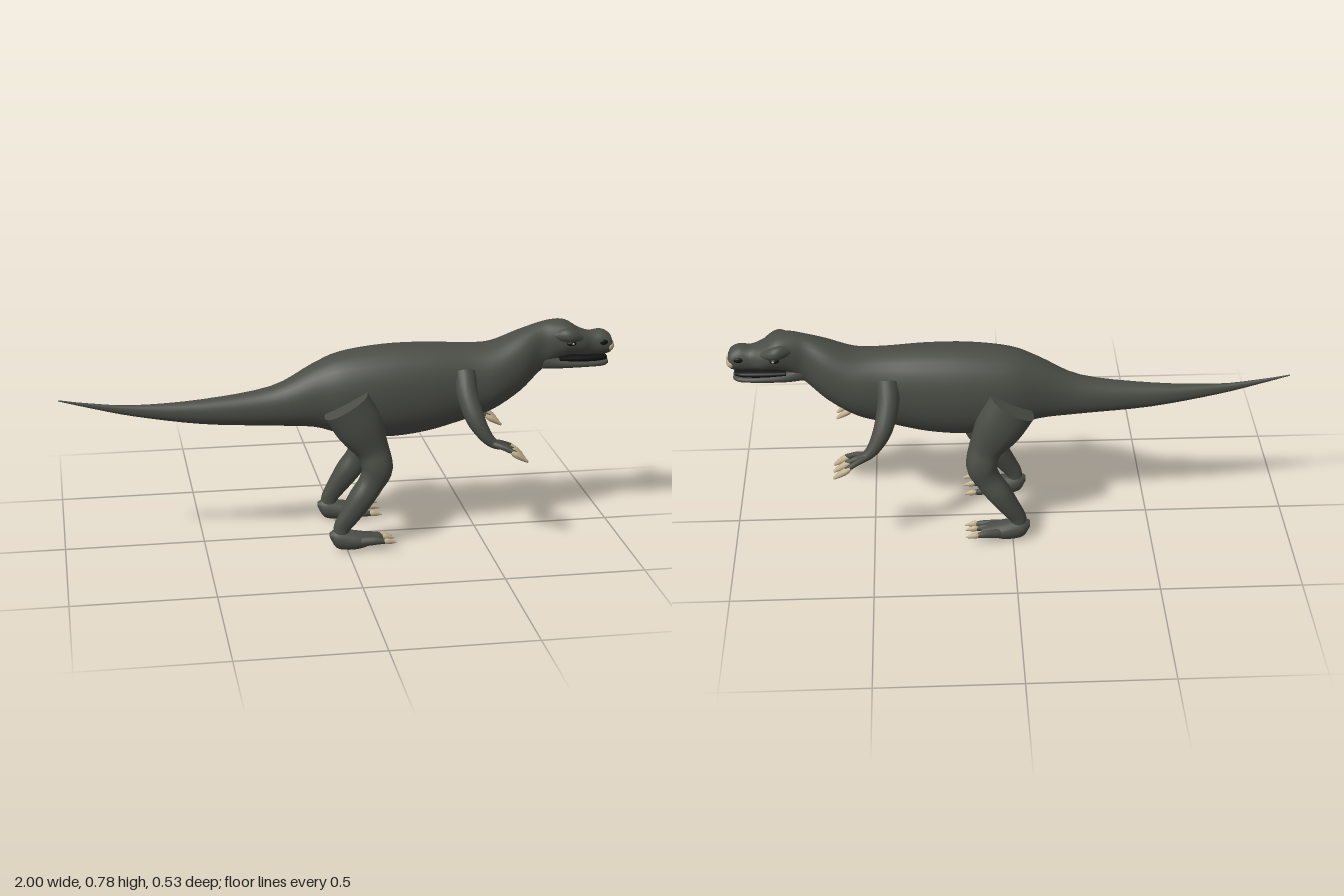
import * as THREE from 'three';

const mat = (name, color) => {
  const m = new THREE.MeshStandardMaterial({ color });
  m.name = name;
  return m;
};

// Skin through sections [x, y, z, halfHeight, halfWidth]; upright rings stay
// vertical, others follow the path. p > 2 makes the rings squarer.
function loft(sections, { n = 20, steps = 4, p = 2, upright = false } = {}) {
  const path = new THREE.CatmullRomCurve3(sections.map(s => new THREE.Vector3(s[0], s[1], s[2])), false, 'catmullrom');
  const size = new THREE.CatmullRomCurve3(sections.map(s => new THREE.Vector3(s[3], s[4], 0)), false, 'catmullrom');
  const rows = (sections.length - 1) * steps;
  const pos = [], idx = [];
  const Z = new THREE.Vector3(0, 0, 1);
  const round = c => Math.sign(c) * Math.pow(Math.abs(c), 2 / p);
  for (let i = 0; i <= rows; i++) {
    const c = path.getPoint(i / rows), r = size.getPoint(i / rows);
    const t = upright ? new THREE.Vector3(1, 0, 0) : path.getTangent(i / rows);
    const u = new THREE.Vector3().crossVectors(Z, t).normalize();
    const v = new THREE.Vector3().crossVectors(t, u);
    for (let j = 0; j < n; j++) {
      const a = (j / n) * Math.PI * 2;
      const q = c.clone()
        .addScaledVector(u, Math.max(r.x, 0.001) * round(Math.cos(a)))
        .addScaledVector(v, Math.max(r.y, 0.001) * round(Math.sin(a)));
      pos.push(q.x, q.y, q.z);
    }
  }
  for (let i = 0; i < rows; i++) for (let j = 0; j < n; j++) {
    const k = (j + 1) % n, a = i * n + j, b = i * n + k;
    idx.push(a, b, a + n, b, b + n, a + n);
  }
  // end caps with their own rim, so the edge stays sharp
  for (const row of [0, rows]) {
    const base = pos.length / 3, c = path.getPoint(row / rows);
    for (let j = 0; j < n * 3; j++) pos.push(pos[row * n * 3 + j]);
    pos.push(c.x, c.y, c.z);
    for (let j = 0; j < n; j++) {
      const a = base + j, b = base + (j + 1) % n;
      if (row) idx.push(base + n, a, b); else idx.push(base + n, b, a);
    }
  }
  const g = new THREE.BufferGeometry();
  g.setAttribute('position', new THREE.Float32BufferAttribute(pos, 3));
  g.setIndex(idx);
  g.computeVertexNormals();
  return g;
}

export function createModel() {
  const model = new THREE.Group();
  model.name = 'dinosaur';
  const hide = mat('hide', 0x4a4c45);
  const horn = mat('horn', 0xc2b08e);
  const dark = mat('dark', 0x121212);

  const add = (parent, name, geometry, material) => {
    const m = new THREE.Mesh(geometry, material);
    m.name = name;
    parent.add(m);
    return m;
  };
  const ball = (parent, name, material, at, scale) => {
    const m = add(parent, name, new THREE.SphereGeometry(1, 20, 14), material);
    m.position.set(...at);
    m.scale.set(...scale);
  };

  // Tail, trunk, neck and skull in one skin
  add(model, 'body', loft([
    [-1, 0.562, 0, 0.002, 0.002],
    [-0.9, 0.54, 0, 0.008, 0.006],
    [-0.74, 0.512, 0, 0.02, 0.015],
    [-0.5, 0.496, 0, 0.044, 0.038],
    [-0.25, 0.505, 0, 0.071, 0.06],
    [-0.1, 0.537, 0, 0.114, 0.09],
    [0, 0.543, 0, 0.148, 0.118],
    [0.15, 0.543, 0, 0.168, 0.13],
    [0.3, 0.55, 0, 0.163, 0.125],
    [0.45, 0.565, 0, 0.14, 0.11],
    [0.55, 0.583, 0, 0.124, 0.11],
    [0.65, 0.633, 0, 0.112, 0.088],
    [0.72, 0.678, 0, 0.092, 0.057],
    [0.77, 0.703, 0, 0.076, 0.063],
    [0.82, 0.712, 0, 0.063, 0.074],
    [0.87, 0.697, 0, 0.048, 0.066],
    [0.91, 0.689, 0, 0.044, 0.047],
    [0.95, 0.691, 0, 0.046, 0.046],
    [0.98, 0.686, 0, 0.037, 0.042],
    [0.99, 0.683, 0, 0.022, 0.03],
  ], { n: 32, p: 2.2, upright: true }), hide);

  // Mouth, jaw and nose
  add(model, 'lowerJaw', loft([
    [0.73, 0.634, 0, 0.03, 0.05],
    [0.8, 0.624, 0, 0.02, 0.058],
    [0.9, 0.619, 0, 0.013, 0.055],
    [0.955, 0.618, 0, 0.012, 0.045],
    [0.976, 0.62, 0, 0.008, 0.03],
  ], { p: 3, upright: true }), hide);
  add(model, 'mouth', loft([
    [0.79, 0.646, 0, 0.01, 0.062],
    [0.87, 0.642, 0, 0.014, 0.06],
    [0.94, 0.639, 0, 0.012, 0.05],
    [0.97, 0.637, 0, 0.008, 0.034],
  ], { p: 3, upright: true }), dark);
  ball(model, 'noseHorn', horn, [0.979, 0.679, 0], [0.021, 0.024, 0.045]);

  for (const s of [1, -1]) {
    const side = s > 0 ? 'left' : 'right';
    const limb = (parent, name, pts, material, opts) =>
      add(parent, name, loft(pts.map(([x, y, z, a, b]) => [x, y, z * s, a, b]), opts), material);

    // Brow, eye and nostril
    limb(model, side + 'Brow', [
      [0.765, 0.732, 0.045, 0.01, 0.012],
      [0.8, 0.735, 0.06, 0.024, 0.022],
      [0.835, 0.73, 0.062, 0.022, 0.022],
      [0.885, 0.713, 0.04, 0.008, 0.01],
    ], hide, { upright: true });
    ball(model, side + 'Eye', dark, [0.825, 0.708, 0.073 * s], [0.017, 0.009, 0.009]);
    ball(model, side + 'Pupil', horn, [0.829, 0.708, 0.08 * s], [0.005, 0.004, 0.003]);
    ball(model, side + 'Nostril', dark, [0.952, 0.698, 0.043 * s], [0.016, 0.01, 0.006]);

    // Hind leg
    const leg = new THREE.Group();
    leg.name = side + 'Leg';
    model.add(leg);
    limb(leg, 'thighAndShin', [
      [0, 0.535, 0.125, 0.088, 0.065],
      [0.05, 0.45, 0.122, 0.085, 0.068],
      [0.095, 0.365, 0.122, 0.06, 0.058],
      [0.11, 0.3, 0.137, 0.056, 0.054],
      [0.088, 0.245, 0.143, 0.046, 0.043],
      [0.05, 0.19, 0.148, 0.044, 0.047],
      [0.01, 0.13, 0.152, 0.036, 0.036],
      [-0.018, 0.085, 0.152, 0.03, 0.026],
      [-0.022, 0.045, 0.152, 0.028, 0.026],
    ], hide, { n: 24, p: 2.3 });
    limb(leg, 'foot', [
      [-0.062, 0.057, 0.152, 0.01, 0.012],
      [-0.04, 0.044, 0.152, 0.034, 0.03],
      [-0.005, 0.037, 0.152, 0.037, 0.038],
      [0.04, 0.034, 0.152, 0.032, 0.042],
      [0.085, 0.036, 0.152, 0.02, 0.036],
      [0.115, 0.037, 0.152, 0.01, 0.022],
    ], hide, { upright: true });
    for (const [z, y] of [[0.2, 0.04], [0.15, 0.038], [0.104, 0.028]]) {
      limb(leg, 'toe', [
        [0.05, 0.036, 0.152 + (z - 0.152) * 0.6, 0.018, 0.015],
        [0.1, y + 0.002, 0.152 + (z - 0.152) * 0.9, 0.014, 0.012],
        [0.138, y, z, 0.008, 0.007],
      ], hide, { n: 12 });
      limb(leg, 'toeClaw', [
        [0.125, y + 0.002, z, 0.008, 0.007],
        [0.142, y, z, 0.011, 0.009],
        [0.172, y - 0.006, z, 0.002, 0.002],
      ], horn, { n: 12 });
    }

    // Arm, fingers and claws
    const arm = new THREE.Group();
    arm.name = side + 'Arm';
    model.add(arm);
    limb(arm, 'upperArm', [
      [0.435, 0.62, 0.08, 0.04, 0.04],
      [0.435, 0.555, 0.125, 0.038, 0.038],
      [0.455, 0.48, 0.168, 0.034, 0.036],
      [0.485, 0.425, 0.192, 0.025, 0.027],
      [0.515, 0.393, 0.2, 0.018, 0.022],
      [0.548, 0.38, 0.204, 0.012, 0.024],
    ], hide);
    for (const z of [0.16, 0.205, 0.25]) {
      limb(arm, 'finger', [
        [0.515, 0.392, 0.202 + (z - 0.205) * 0.2, 0.012, 0.012],
        [0.55, 0.383, 0.204 + (z - 0.205) * 0.65, 0.01, 0.01],
        [0.588, 0.366, z, 0.009, 0.009],
      ], hide, { n: 12 });
      limb(arm, 'fingerClaw', [
        [0.572, 0.372, z, 0.007, 0.008],
        [0.588, 0.362, z, 0.012, 0.013],
        [0.61, 0.348, z, 0.01, 0.011],
        [0.632, 0.333, z, 0.004, 0.006],
      ], horn, { n: 12 });
    }
  }
  return model;
}
